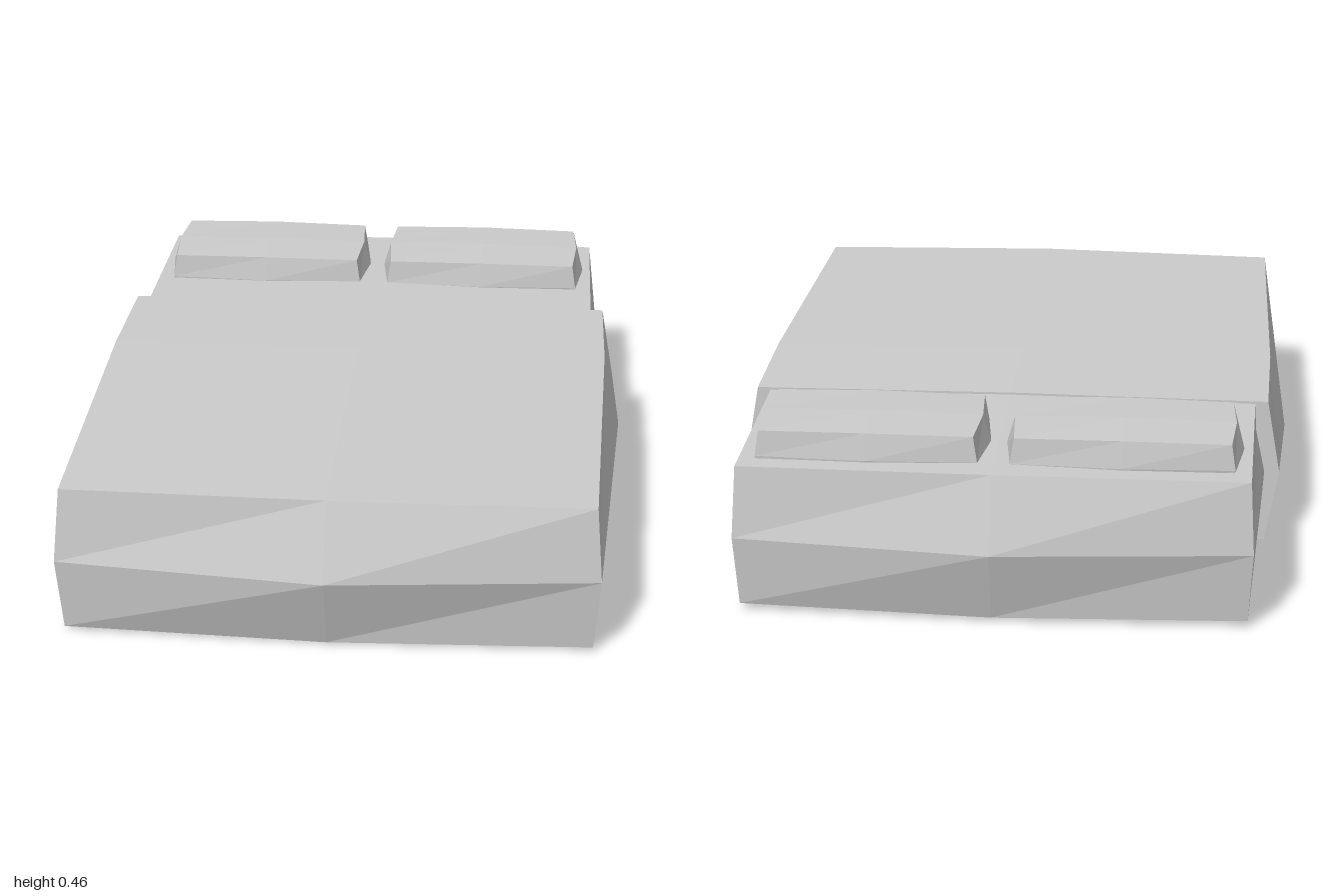
import * as THREE from 'three';

const material = new THREE.MeshStandardMaterial({ color: 0xcccccc, flatShading: true });

// Half-size triples: [at corners, at edge midpoints, at face centres]
// A box of 2x2x2 segments whose edges and faces swell outwards.
function swollenBox(name, halfX, halfY, halfZ, center, cutZ = null) {
  const box = new THREE.BoxGeometry(2, 2, 2, 2, 2, 2);
  const place = (u, v, w) => {
    const k = 3 - (Math.abs(u) + Math.abs(v) + Math.abs(w));
    return new THREE.Vector3(u * halfX[k], v * halfY[k], w * halfZ[k]).add(center);
  };
  const pos = box.attributes.position;
  for (let i = 0; i < pos.count; i++) {
    const [u, v, w] = [pos.getX(i), pos.getY(i), pos.getZ(i)].map(Math.round);
    const p = place(u, v, w);
    if (cutZ !== null && w === -1) {
      // Slide the back vertices along their edges to a flat cut
      if (u === 0 && v === 0) p.set(center.x, center.y, cutZ);
      else {
        const mid = place(u, v, 0);
        p.lerpVectors(mid, p, (cutZ - mid.z) / (p.z - mid.z));
      }
    }
    pos.setXYZ(i, p.x, p.y, p.z);
  }
  const geometry = box.toNonIndexed();
  geometry.computeVertexNormals();
  const mesh = new THREE.Mesh(geometry, material);
  mesh.name = name;
  return mesh;
}

export function createModel() {
  const bed = new THREE.Group();
  bed.name = 'bed';

  // Mattress, its front part inside the blanket
  bed.add(swollenBox('mattress', [0.63, 0.64, 0.68], [0.183, 0.189, 0.195], [0.89, 0.91, 0.97],
    new THREE.Vector3(0, 0.2, -0.03)));

  // Blanket, slightly larger and cut off below the pillows
  bed.add(swollenBox('blanket', [0.66, 0.675, 0.72], [0.19, 0.195, 0.2], [0.94, 0.96, 1.03],
    new THREE.Vector3(0, 0.2, -0.03), -0.38));

  // Pair of pillows
  for (const [name, side] of [['leftPillow', 1], ['rightPillow', -1]]) {
    bed.add(swollenBox(name, [0.265, 0.275, 0.295], [0.065, 0.068, 0.073], [0.15, 0.155, 0.167],
      new THREE.Vector3(side * 0.315, 0.39, -0.71)));
  }
  return bed;
}
